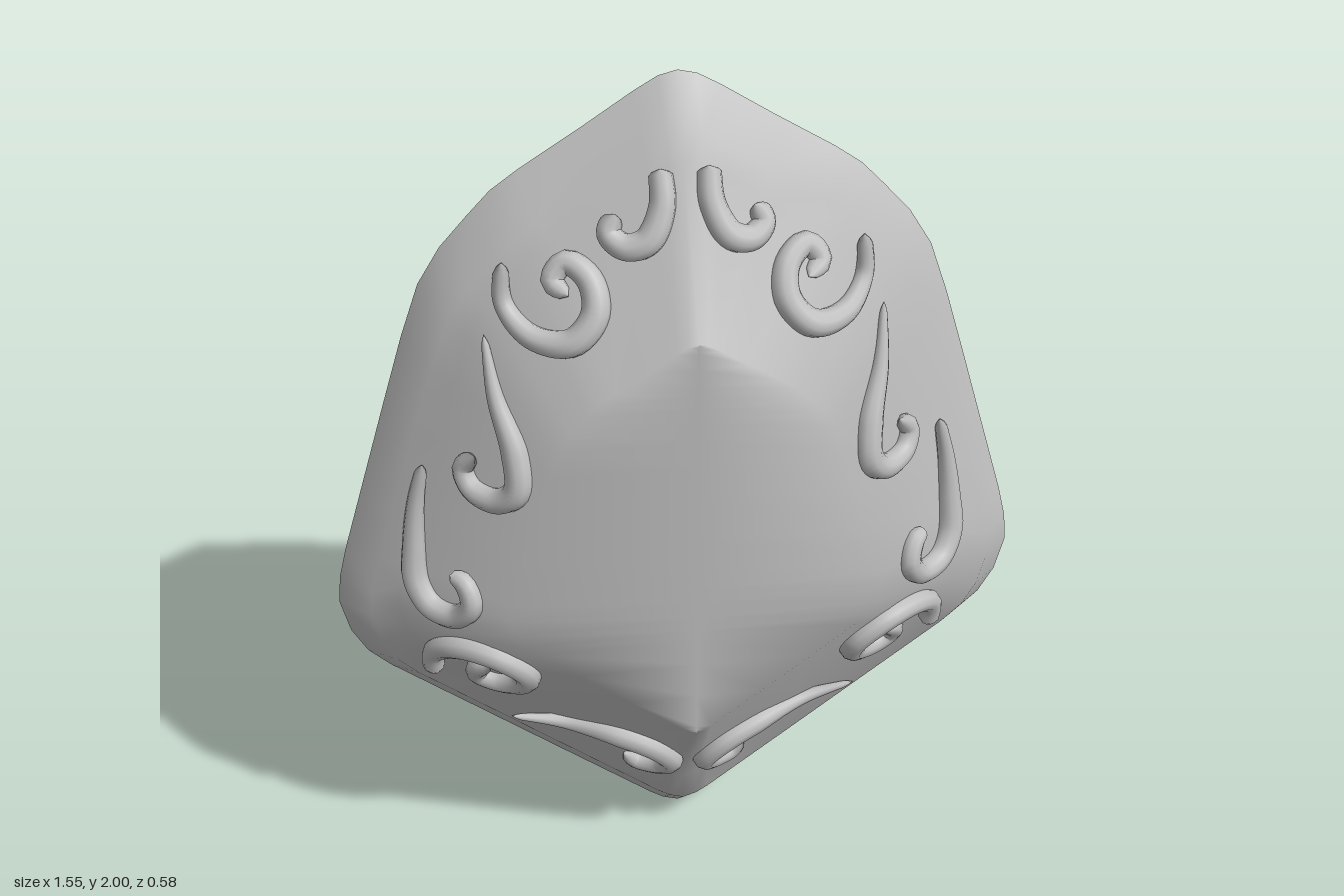
import * as THREE from 'three';

const stone = new THREE.MeshStandardMaterial({ color: 0xc0c0c0 });
stone.name = 'grey stone';

// Right half of the shield outline, top to bottom, with y measured from the centre
const half = [
  [0, 1], [0.04, 0.99], [0.09, 0.96], [0.2, 0.885], [0.33, 0.8], [0.39, 0.755], [0.44, 0.7],
  [0.5, 0.63], [0.55, 0.545], [0.592, 0.42], [0.64, 0.255], [0.7, 0.045], [0.75, -0.13],
  [0.769, -0.21], [0.775, -0.28], [0.755, -0.365], [0.72, -0.43], [0.67, -0.48],
  [0.5, -0.617], [0.28, -0.795], [0.065, -0.968], [0.035, -0.988], [0, -1],
];
const outline = [...half, ...half.slice(1, -1).reverse().map(([x, y]) => [-x, y])];

// Cross-section of one face: scale in x, scale in y, depth
const rings = [
  [1, 1, 0], [0.91, 0.91, 0.09], [0.83, 0.84, 0.09], [0.53, 0.525, 0.29], [0, 0.525, 0.29],
];

// Loft the outline through the rings into bevel, rim, dome and flat crown
function faceGeometry() {
  const n = outline.length, pos = [], index = [];
  for (const [sx, sy, z] of rings)
    for (const [x, y] of outline) pos.push(x * sx, 1 + y * sy, z);
  for (let k = 0; k < rings.length - 1; k++)
    for (let i = 0; i < n; i++) {
      const a = k * n + i, b = k * n + (i + 1) % n, c = a + n, d = b + n;
      index.push(a, c, b, b, c, d);
    }
  const g = new THREE.BufferGeometry();
  g.setAttribute('position', new THREE.Float32BufferAttribute(pos, 3));
  g.setIndex(index);
  g.computeVertexNormals();
  return g;
}

// Depth of the dome surface under a point
function domeDepth(x, y) {
  let s = 0;
  for (let i = 0; i < outline.length; i++) {
    const [ax, ay] = outline[i], [bx, by] = outline[(i + 1) % outline.length];
    const nx = ay - by, ny = bx - ax;
    s = Math.max(s, (nx * x + ny * (y - 1)) / (nx * ax + ny * ay));
  }
  return 0.09 + 0.2 * THREE.MathUtils.clamp((0.84 - s) / 0.31, 0, 1);
}

// Scroll centre lines on the +x side: starting thickness, then points
const scrolls = [
  { name: 'topHook', start: 0.8, pts: [[0.05, 1.83], [0.052, 1.76], [0.085, 1.7], [0.13, 1.685], [0.16, 1.705], [0.145, 1.74]] },
  { name: 'shoulderCurl', start: 0.5, pts: [[0.38, 1.64], [0.38, 1.55], [0.33, 1.5], [0.25, 1.505], [0.2, 1.56], [0.205, 1.62], [0.25, 1.645], [0.28, 1.61], [0.25, 1.585]] },
  { name: 'upperSideHook', start: 0.2, pts: [[0.425, 1.48], [0.41, 1.36], [0.378, 1.25], [0.38, 1.17], [0.42, 1.13], [0.47, 1.135], [0.485, 1.175], [0.46, 1.21]] },
  { name: 'lowerSideHook', start: 0.4, pts: [[0.57, 1.15], [0.59, 1.05], [0.6, 0.95], [0.6, 0.86], [0.57, 0.812], [0.52, 0.812], [0.488, 0.86], [0.5, 0.905], [0.53, 0.91]] },
  { name: 'cornerSpiral', start: 0.8, pts: [[0.575, 0.57], [0.572, 0.65], [0.52, 0.7], [0.44, 0.7], [0.378, 0.65], [0.378, 0.59], [0.43, 0.56], [0.475, 0.575], [0.48, 0.61], [0.45, 0.63]] },
  { name: 'bottomScroll', start: 0.2, pts: [[0.405, 0.41], [0.28, 0.387], [0.16, 0.38], [0.08, 0.345], [0.04, 0.285], [0.06, 0.245], [0.11, 0.237], [0.145, 0.262]] },
];

// Tapered tube lying on the dome, with closed ends
function scrollGeometry({ pts, start }, side) {
  const curve = new THREE.CatmullRomCurve3(
    pts.map(([x, y]) => new THREE.Vector3(side * x, y, domeDepth(x, y) + 0.006)));
  const steps = 48, sides = 10;
  const g = new THREE.TubeGeometry(curve, steps, 0.031, sides, false);
  const p = g.attributes.position, v = new THREE.Vector3();
  for (let i = 0; i <= steps; i++) {
    const u = i / steps, c = curve.getPointAt(u);
    const swell = THREE.MathUtils.lerp(start, 1, Math.min(1, u / 0.45));
    const tip = Math.sqrt(Math.max(0, 1 - Math.max(0, (u - 0.92) / 0.08) ** 2));
    const root = Math.sqrt(Math.min(1, u / 0.04));
    const taper = 1 - 0.25 * Math.max(0, (u - 0.6) / 0.4);
    for (let j = 0; j <= sides; j++) {
      const k = i * (sides + 1) + j;
      v.fromBufferAttribute(p, k).sub(c).multiplyScalar(swell * tip * root * taper).add(c);
      p.setXYZ(k, v.x, v.y, v.z);
    }
  }
  return g;
}

export function createModel() {
  const model = new THREE.Group();
  model.name = 'ornateShield';
  const face = faceGeometry();
  // Two identical faces meet at the sharp outer edge
  for (const [label, turn] of [['front', 0], ['back', Math.PI]]) {
    const group = new THREE.Group();
    group.name = label + 'Face';
    group.rotation.y = turn;
    const body = new THREE.Mesh(face, stone);
    body.name = label + 'Body';
    group.add(body);
    for (const scroll of scrolls)
      for (const side of [1, -1]) {
        const mesh = new THREE.Mesh(scrollGeometry(scroll, side), stone);
        mesh.name = scroll.name + (side > 0 ? 'Left' : 'Right');
        group.add(mesh);
      }
    model.add(group);
  }
  return model;
}
